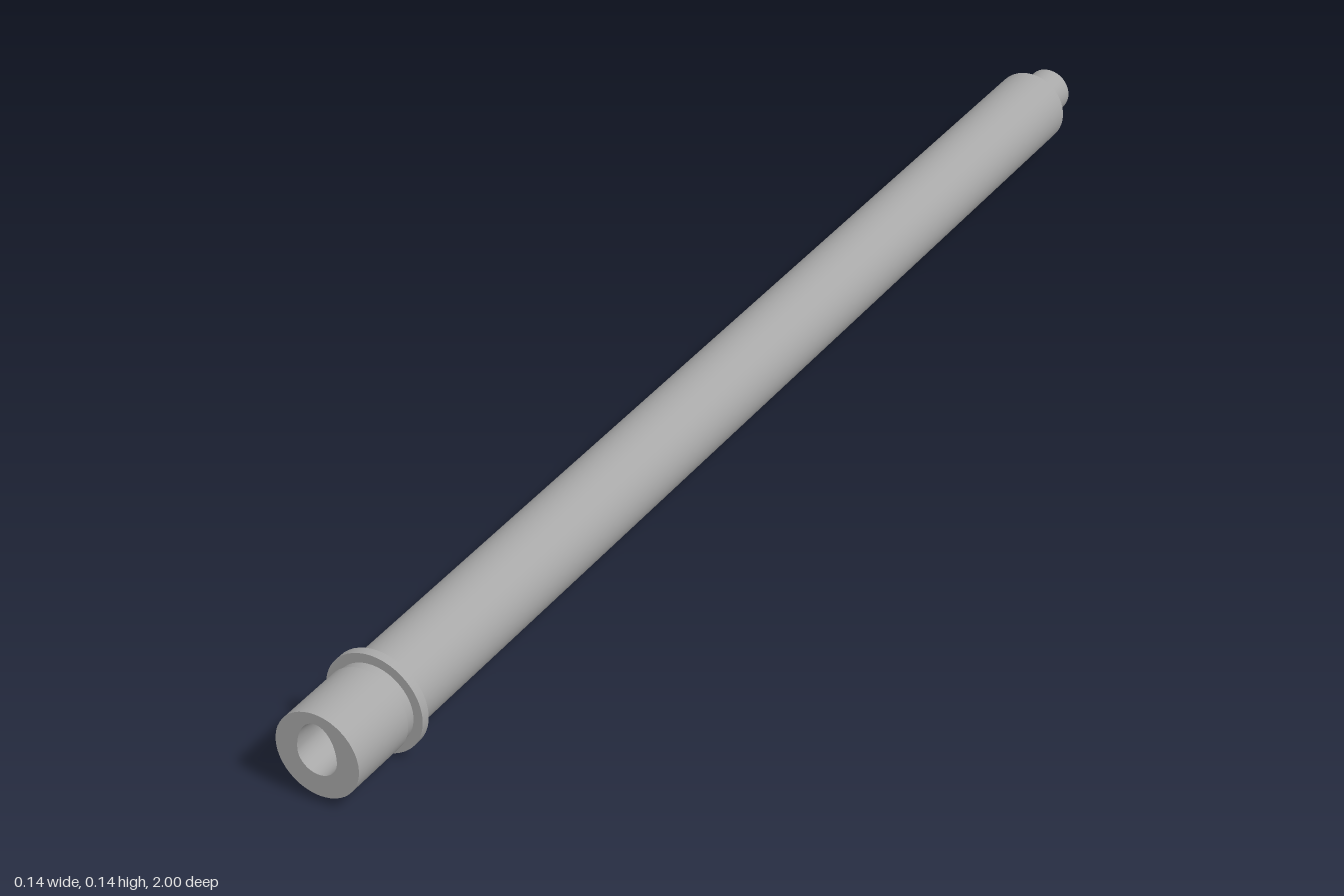
import * as THREE from 'three';
import { mergeGeometries } from 'three/addons/utils/BufferGeometryUtils.js';

const SEG = 48;
const AXIS_Y = 0.0715;
const BORE = 0.025, CHAMBER = 0.029, REAR = 0.061;

// Turned surface along z from [radius, z] pairs, with a sharp edge at every corner
function turned(profile) {
  const bands = [];
  for (let i = 0; i < profile.length - 1; i++) {
    const pts = [profile[i], profile[i + 1]].map(([r, z]) => new THREE.Vector2(r, z));
    bands.push(new THREE.LatheGeometry(pts, SEG));
  }
  return mergeGeometries(bands).rotateX(Math.PI / 2);
}

// Mouth outline: a circle whose upper half is stretched by t
function mouthPoint(i, t) {
  const a = (i / SEG) * Math.PI * 2;
  const stretch = Math.sin(a) > 0 ? 1 + 0.59 * t : 1;
  return [CHAMBER * Math.cos(a), CHAMBER * Math.sin(a) * stretch];
}

// Sloped ramp: lofts the stretched mouth into the round chamber
function rampGeometry(z0, z1, rings) {
  const pos = [], index = [];
  for (let k = 0; k <= rings; k++) {
    const f = k / rings;
    for (let i = 0; i <= SEG; i++) {
      const [x, y] = mouthPoint(i, 1 - f);
      pos.push(x, y, z0 + (z1 - z0) * f);
    }
  }
  for (let k = 0; k < rings; k++) {
    for (let i = 0; i < SEG; i++) {
      const a = k * (SEG + 1) + i, b = a + 1, c = a + SEG + 1, d = c + 1;
      index.push(a, b, c, b, d, c);
    }
  }
  const g = new THREE.BufferGeometry();
  g.setAttribute('position', new THREE.Float32BufferAttribute(pos, 3));
  g.setIndex(index);
  g.computeVertexNormals();
  return g;
}

export function createModel() {
  const group = new THREE.Group();
  const steel = new THREE.MeshStandardMaterial({ color: 0xa8a8a8, side: THREE.DoubleSide });
  steel.name = 'grey steel';

  const add = (name, geometry, y = AXIS_Y, z = 0) => {
    const mesh = new THREE.Mesh(geometry, steel);
    mesh.name = name;
    mesh.position.set(0, y, z);
    group.add(mesh);
  };

  // Threaded end: chamfered tip, stub and narrow neck
  add('endStub', turned([
    [0.027, -1], [0.033, -1], [0.035, -0.997], [0.035, -0.945], [0.031, -0.943], [0.031, -0.932],
  ]));

  // Long main tube
  add('mainTube', turned([[0.031, -0.932], [0.056, -0.932], [0.058, -0.93], [0.058, 0.866]]));

  // Locating flange
  add('flange', turned([[0.058, 0.866], [0.0715, 0.866], [0.0715, 0.879], [0.058, 0.879]]));
  add('flangePin', new THREE.BoxGeometry(0.012, 0.012, 0.018), 0.0075, 0.874);

  // Thick sleeve with a relief groove behind the flange
  add('sleeve', turned([[0.058, 0.879], [0.058, 0.893], [REAR, 0.895], [REAR, 1]]));

  // Front face with the stretched mouth cut out
  const face = new THREE.Shape().absarc(0, 0, REAR, 0, Math.PI * 2);
  const mouth = [];
  for (let i = 0; i < SEG; i++) mouth.push(new THREE.Vector2(...mouthPoint(i, 1)));
  face.holes.push(new THREE.Path(mouth));
  add('frontFace', new THREE.ShapeGeometry(face, SEG / 2), AXIS_Y, 1);

  // Inner surfaces: ramp, chamber, then the through bore
  add('ramp', rampGeometry(1, 0.94, 4));
  add('bore', turned([
    [CHAMBER, 0.94], [CHAMBER, 0.74], [BORE, 0.72], [BORE, -0.995], [0.027, -1],
  ]));

  return group;
}
